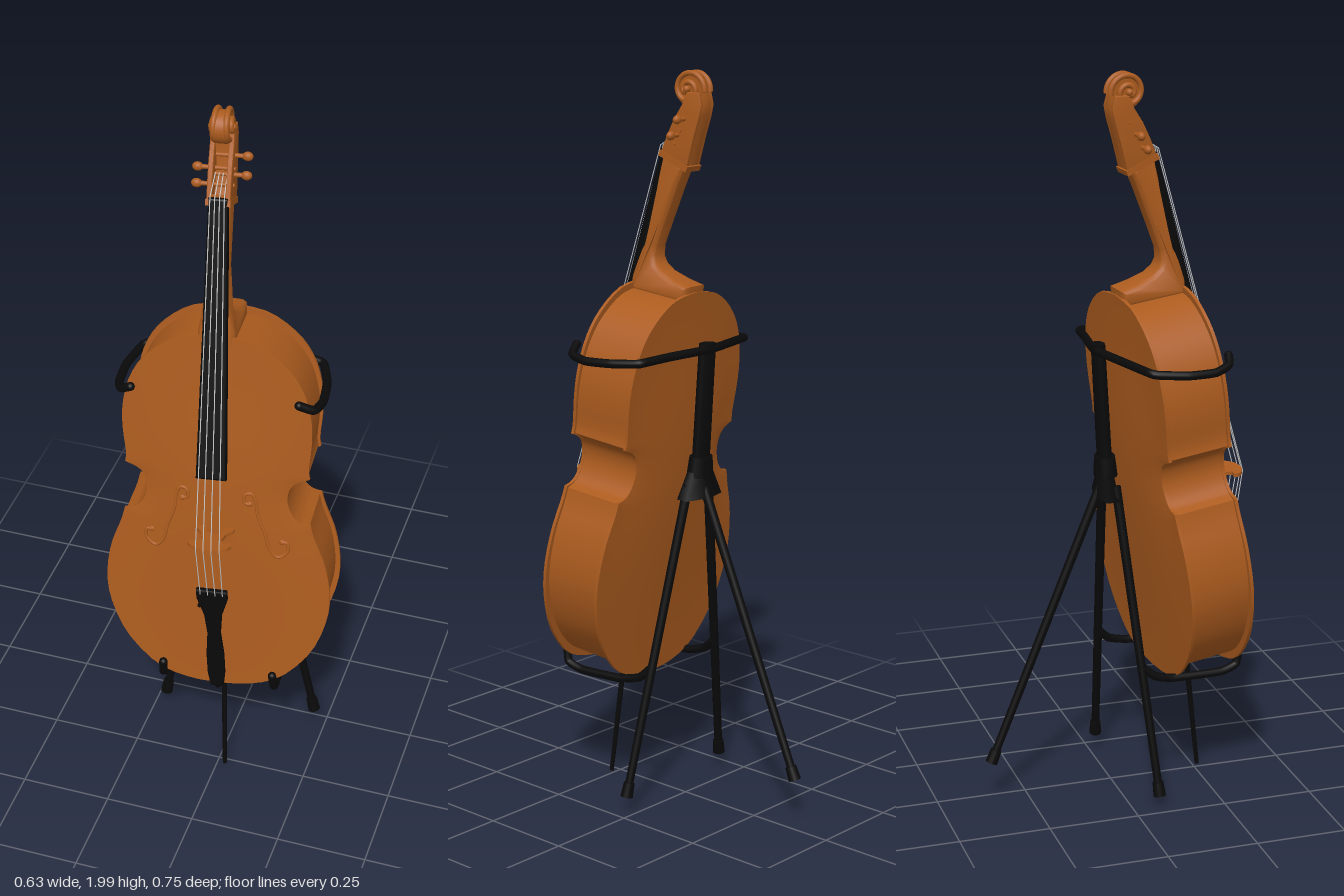
import * as THREE from 'three';
import { toCreasedNormals } from 'three/addons/utils/BufferGeometryUtils.js';

const mat = (name, color) => {
  const m = new THREE.MeshStandardMaterial({ color });
  m.name = name;
  return m;
};
const V = (a) => new THREE.Vector3(...a);
const V2 = (a) => new THREE.Vector2(...a);

export function createModel() {
  const wood = mat('varnished wood', 0xab5b1e);
  const black = mat('black', 0x090909);
  const steel = mat('string steel', 0xc4c4c4);

  const model = new THREE.Group();
  model.name = 'celloOnStand';
  const cello = new THREE.Group();
  cello.name = 'cello';
  // leaning back, turned slightly; origin at the tip of the endpin
  cello.rotation.set(-0.12, 0.11, 0.024, 'YXZ');
  cello.position.set(0.021, 0.01, 0.265);
  const body = new THREE.Group();
  body.name = 'body';
  body.position.z = -0.01;
  cello.add(body);
  const stand = new THREE.Group();
  stand.name = 'stand';
  model.add(cello, stand);

  const add = (parent, name, geo, material) => {
    const m = new THREE.Mesh(geo, material);
    m.name = name;
    parent.add(m);
    return m;
  };
  const rod = (parent, name, a, b, ra, rb, material, sides = 16) => {
    const p = V(a), d = V(b).sub(p);
    const m = add(parent, name, new THREE.CylinderGeometry(rb, ra, d.length(), sides), material);
    m.position.copy(p).addScaledVector(d, 0.5);
    m.quaternion.setFromUnitVectors(new THREE.Vector3(0, 1, 0), d.normalize());
    return m;
  };
  const ball = (parent, name, p, r, material) => {
    const m = add(parent, name, new THREE.SphereGeometry(r, 16, 12), material);
    m.position.set(...p);
    return m;
  };
  const tube = (parent, name, pts, r, material, n = 60, tension = 0.5) =>
    add(parent, name, new THREE.TubeGeometry(new THREE.CatmullRomCurve3(pts.map(V), false, 'catmullrom', tension), n, r, 14), material);
  // bent bar with rounded ends
  const bar = (name, pts, r) => {
    tube(stand, name, pts, r, black, 120, 0.25);
    ball(stand, name + 'End', pts[0], r, black);
    ball(stand, name + 'End', pts[pts.length - 1], r, black);
  };
  // side profile of [z, y] points, extruded across x
  const sideExtrude = (pts, width, bevel) => {
    const g = new THREE.ExtrudeGeometry(new THREE.Shape(pts.map(V2)), {
      depth: width - 2 * bevel, bevelEnabled: true, bevelSize: bevel, bevelThickness: bevel, bevelOffset: -bevel, bevelSegments: 3,
    });
    return g.translate(0, 0, bevel - width / 2).rotateY(-Math.PI / 2);
  };
  // right half of a front outline, mirrored and extruded
  const mirrored = (pts) => new THREE.Shape([...pts, ...pts.slice().reverse().map(([x, y]) => [-x, y])].map(V2));

  // ---- Body outline: lower bout, waist, upper bout, then mirrored
  const bouts = [
    [[0, 0.345], [0.08, 0.351], [0.17, 0.385], [0.252, 0.475], [0.295, 0.58], [0.305, 0.67], [0.291, 0.765], [0.262, 0.845], [0.251, 0.885]],
    [[0.251, 0.885], [0.222, 0.893], [0.2, 0.917], [0.188, 0.955], [0.193, 0.992], [0.212, 1.015], [0.246, 1.03]],
    [[0.246, 1.03], [0.243, 1.06], [0.25, 1.14], [0.247, 1.21], [0.226, 1.29], [0.18, 1.358], [0.1, 1.413], [0, 1.429]],
  ];
  const half = bouts.flatMap((b) => new THREE.SplineCurve(b.map(V2)).getPoints(22).slice(0, -1));
  half.push(new THREE.Vector2(0, 1.429));
  const outline = [...half, ...half.slice(1, -1).reverse().map((p) => new THREE.Vector2(-p.x, p.y))];
  const n = outline.length;
  // softened outline, so that the arching runs smoothly past the corners
  let soft = outline;
  for (let i = 0; i < 120; i++) soft = soft.map((p, j) => p.clone().add(soft[(j + 1) % n]).add(soft[(j + n - 1) % n]).divideScalar(3));
  const mid = new THREE.Vector2(0, 0.95);
  // rings of [scale, z], front to back
  const loft = (rings) => {
    const pos = [], idx = [];
    rings.forEach(([s, z], i) => outline.forEach((p, j) => {
      const q = soft[j].clone().lerp(p, Math.pow(s, 5)).sub(mid).multiplyScalar(s).add(mid);
      pos.push(q.x, q.y, z);
      if (i === rings.length - 1) return;
      const k = (j + 1) % n, a = i * n, b = a + n;
      if (rings[i + 1][0] > 0) idx.push(a + j, b + j, b + k);
      if (s > 0) idx.push(a + j, b + k, a + k);
    }));
    const g = new THREE.BufferGeometry();
    g.setAttribute('position', new THREE.Float32BufferAttribute(pos, 3));
    g.setIndex(idx);
    return toCreasedNormals(g, 0.6);
  };
  const arch = [0, 0.2, 0.4, 0.55, 0.7, 0.8, 0.88, 0.94, 1].map((s) => [s, 0.092 + 0.018 * Math.pow(1 - s * s, 1.3)]);
  const front = add(body, 'frontPlate', loft([...arch, [1, 0.083], [0.975, 0.083]]), wood);
  add(body, 'ribs', loft([[0.982, 0.084], [0.982, -0.084]]), wood);
  add(body, 'backPlate', loft([[0.975, -0.083], [1, -0.083], ...arch.map(([s, z]) => [s, -z]).reverse()]), wood);

  // ---- Sound hole rims, laid on the arched front
  const ray = new THREE.Raycaster();
  const onFront = (x, y) => {
    ray.set(new THREE.Vector3(x, y, 1), new THREE.Vector3(0, 0, -1));
    return [x, y, ray.intersectObject(front)[0].point.z];
  };
  const fCurve = new THREE.SplineCurve([[0.09, 0.945], [0.076, 0.95], [0.077, 0.972], [0.094, 0.978], [0.106, 0.955], [0.112, 0.91],
    [0.13, 0.86], [0.143, 0.81], [0.165, 0.785], [0.19, 0.803], [0.19, 0.83], [0.176, 0.832]].map(V2)).getPoints(30);
  for (const s of [1, -1]) {
    const pts = fCurve.map((p) => onFront(s * p.x, p.y));
    tube(body, 'soundHole', pts, 0.0045, wood, 80);
    for (const i of [0, pts.length - 1]) ball(body, 'soundHoleEye', pts[i], 0.008, wood).scale.z = 0.5;
  }

  // ---- Neck, flaring at the heel, and fingerboard
  const neck = sideExtrude([[0.085, 1.4], [0.086, 1.44], [0.073, 1.53], [0.036, 1.797], [-0.03, 1.75], [-0.016, 1.704], [0.012, 1.6], [0.03, 1.53],
    [0.03, 1.5], [0.02, 1.482], [-0.003, 1.466], [-0.05, 1.453], [-0.098, 1.445], [-0.098, 1.4]], 0.056, 0.012);
  const np = neck.attributes.position;
  for (let i = 0; i < np.count; i++) {
    const t = THREE.MathUtils.clamp((1.53 - np.getY(i)) / 0.09, 0, 1);
    np.setX(i, np.getX(i) * (1 + 0.7 * t * t));
  }
  add(cello, 'neck', toCreasedNormals(neck, 0.7), wood);
  const board = new THREE.ExtrudeGeometry(mirrored([[0.04, 0], [0.025, 0.752]]),
    { depth: 0.014, bevelEnabled: true, bevelSize: 0.006, bevelThickness: 0.006, bevelOffset: -0.006, bevelSegments: 2 });
  const fingerboard = add(cello, 'fingerboard', board, black);
  fingerboard.position.set(0, 1.045, 0.143);
  fingerboard.rotation.x = -0.153;

  // ---- Pegbox, scroll and pegs
  const collar = add(cello, 'pegboxCollar', new THREE.BoxGeometry(0.064, 0.016, 0.098), wood);
  collar.position.set(0, 1.765, 0.001);
  collar.rotation.x = -0.3;
  const backEdge = [[-0.055, 1.955], [-0.067, 1.925], [-0.064, 1.89], [-0.055, 1.84], [-0.043, 1.755]];
  const cheek = toCreasedNormals(sideExtrude([[0.046, 1.775], [0.03, 1.83], [0.014, 1.875], [-0.006, 1.915], [-0.015, 1.95], ...backEdge], 0.013, 0.003), 0.7);
  for (const s of [1, -1]) {
    const side = add(cello, 'pegboxCheek', cheek, wood);
    side.position.x = s * 0.024;
    side.position.y = 0;
  }
  add(cello, 'pegboxBack', toCreasedNormals(sideExtrude([[0.01, 1.77], [-0.025, 1.85], [-0.014, 1.91], [-0.018, 1.945], ...backEdge], 0.042, 0.003), 0.7), wood);
  const core = add(cello, 'scrollCore', new THREE.CylinderGeometry(0.042, 0.042, 0.034, 32), wood);
  core.rotation.z = Math.PI / 2;
  core.position.set(0, 1.957, -0.014);
  for (const s of [1, -1]) {
    const spiral = [];
    for (let i = 0; i <= 36; i++) {
      const t = i / 36, a = Math.PI * (1 - 3.6 * t), r = 0.042 * (1 - t) + 0.006;
      spiral.push([s * (0.013 + 0.014 * t), 1.957 + Math.sin(a) * r, -0.014 + Math.cos(a) * r]);
    }
    tube(cello, 'scrollSpiral', spiral, 0.0075, wood, 90);
    ball(cello, 'scrollEye', [s * 0.026, 1.957, -0.014], 0.01, wood);
  }
  for (const [s, y, z] of [[1, 1.88, -0.02], [-1, 1.848, -0.01], [1, 1.835, -0.005], [-1, 1.81, 0.005]]) {
    rod(cello, 'pegShaft', [-s * 0.034, y, z], [s * 0.055, y, z], 0.005, 0.006, wood);
    ball(cello, 'pegHead', [s * 0.062, y, z], 0.014, wood).scale.set(1, 0.85, 0.75);
  }

  // ---- Bridge, standing out from the front
  const bridge = mirrored([[0.016, 0.213], [0.034, 0.206], [0.05, 0.196], [0.058, 0.182], [0.05, 0.172], [0.036, 0.176], [0.026, 0.16],
    [0.034, 0.13], [0.05, 0.11], [0.05, 0.09], [0.028, 0.09], [0.02, 0.125], [0.006, 0.135]]);
  add(cello, 'bridge', new THREE.ExtrudeGeometry(bridge, { depth: 0.01, bevelEnabled: false }).rotateX(Math.PI / 2), wood).position.y = 0.867;

  // ---- Tailpiece, tuners and endpin
  const tail = mirrored([[0.018, 0], [0.024, 0.05], [0.024, 0.12], [0.018, 0.2], [0.024, 0.27], [0.042, 0.33], [0.042, 0.36]]);
  const tailpiece = add(cello, 'tailpiece', new THREE.ExtrudeGeometry(tail,
    { depth: 0.008, bevelEnabled: true, bevelSize: 0.004, bevelThickness: 0.004, bevelOffset: -0.004, bevelSegments: 2 }), black);
  tailpiece.position.set(0, 0.35, 0.092);
  tailpiece.rotation.x = 0.175;
  tube(cello, 'tailLoop', [[0, 0.37, 0.1], [0, 0.342, 0.09], [0, 0.333, 0.06], [0, 0.338, 0]], 0.008, black, 24);
  rod(cello, 'endpinCollar', [0, 0.325, 0], [0, 0.365, 0], 0.014, 0.022, black);
  rod(cello, 'endpin', [0, 0, 0], [0, 0.33, 0], 0.006, 0.008, black);

  // ---- Strings over the bridge
  for (const t of [-1.5, -0.5, 0.5, 1.5]) {
    const crest = [t * 0.021, 0.862, 0.2145 - 0.0025 * t * t];
    const nut = [t * 0.012, 1.797, 0.055];
    rod(cello, 'string', crest, nut, 0.0014, 0.0014, steel);
    rod(cello, 'stringAfterBridge', [t * 0.02, 0.69, 0.164], crest, 0.0014, 0.0014, steel);
    rod(cello, 'stringInPegbox', nut, [t * 0.01, 1.84, 0.002], 0.0014, 0.0014, steel);
    rod(cello, 'fineTuner', [t * 0.02, 0.665, 0.155], [t * 0.02, 0.662, 0.178], 0.004, 0.005, black);
  }

  // ---- Stand: flat post, hub and three legs
  rod(stand, 'post', [-0.03, 0.88, -0.022], [-0.036, 1.285, -0.046], 0.03, 0.028, black).scale.z = 0.65;
  rod(stand, 'hubCollar', [-0.031, 0.92, -0.024], [-0.032, 0.975, -0.027], 0.042, 0.036, black).scale.z = 0.75;
  rod(stand, 'hub', [-0.03, 0.862, -0.023], [-0.031, 0.935, -0.024], 0.082, 0.046, black, 6).scale.z = 0.42;
  for (const [top, foot] of [
    [[-0.08, 0.9, -0.01], [-0.221, 0.047, 0.071]],
    [[0.012, 0.9, -0.02], [0.216, 0.055, 0.022]],
    [[-0.031, 0.9, -0.035], [-0.044, 0.128, -0.356]],
  ]) {
    rod(stand, 'leg', foot, top, 0.011, 0.013, black);
    rod(stand, 'foot', foot, V(foot).lerp(V(top), 0.045).toArray(), 0.017, 0.015, black);
  }

  // ---- Upper yoke round the shoulders and lower rests
  bar('upperYoke', [[-0.232, 1.28, 0.248], [-0.262, 1.262, 0.238], [-0.282, 1.25, 0.195], [-0.29, 1.25, 0.12], [-0.277, 1.255, 0.04],
    [-0.262, 1.258, 0.022], [-0.15, 1.264, -0.018], [-0.06, 1.27, -0.052], [-0.01, 1.27, -0.054], [0.1, 1.268, -0.039], [0.19, 1.264, -0.027],
    [0.208, 1.262, -0.018], [0.236, 1.258, 0.05], [0.248, 1.256, 0.13], [0.24, 1.265, 0.185], [0.205, 1.285, 0.204]], 0.0115);
  bar('lowerRest', [[-0.16, 0.405, 0.04], [-0.162, 0.375, 0.075], [-0.155, 0.36, 0.13], [-0.145, 0.357, 0.27], [-0.138, 0.372, 0.318],
    [-0.135, 0.415, 0.326]], 0.0115);
  bar('lowerRest', [[0.132, 0.405, 0.008], [0.142, 0.375, 0.04], [0.152, 0.36, 0.1], [0.165, 0.357, 0.235], [0.17, 0.372, 0.283],
    [0.167, 0.415, 0.291]], 0.0115);
  return model;
}
